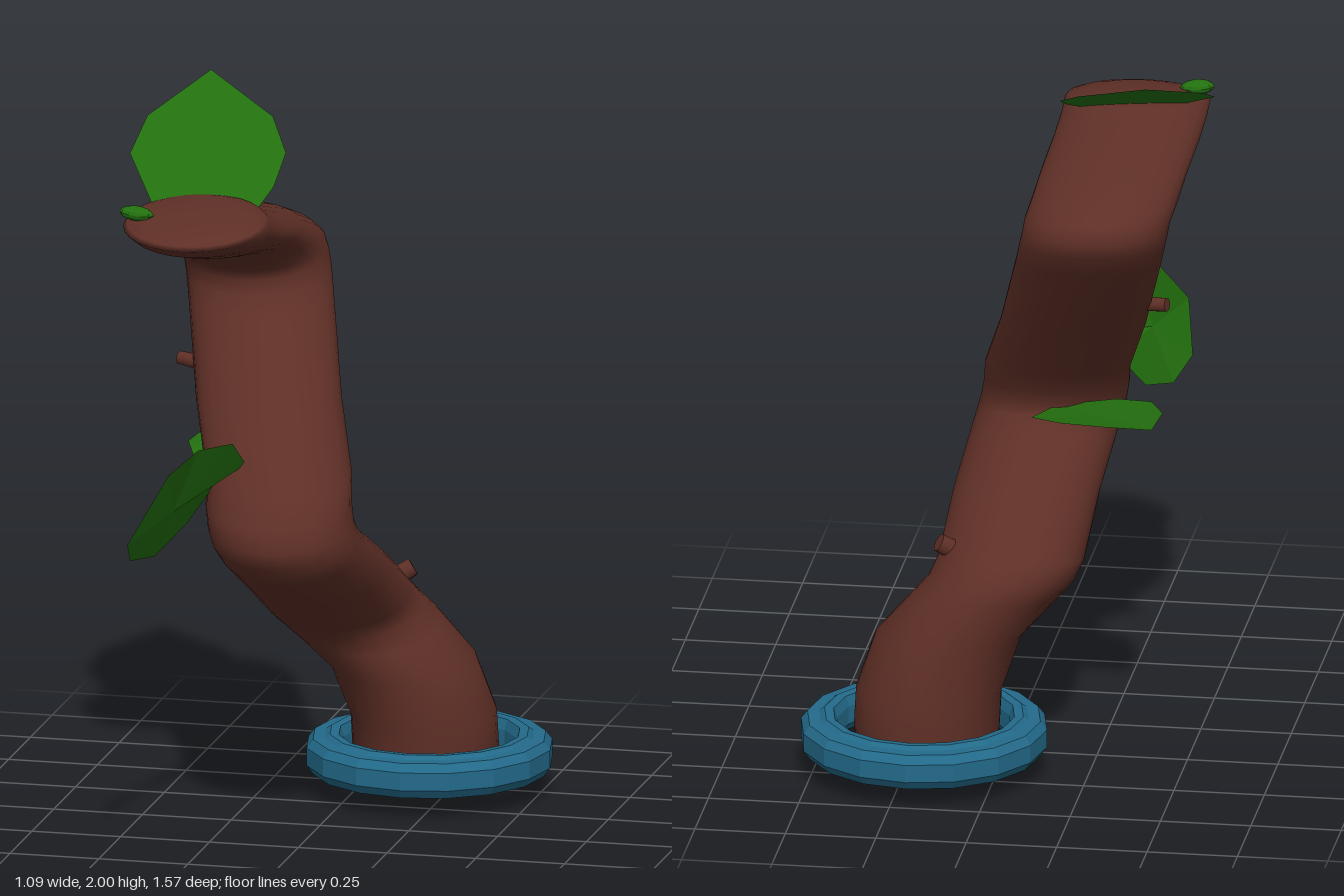
import * as THREE from 'three';

const mat = (name, color, side = THREE.FrontSide, flatShading = false) => {
  const m = new THREE.MeshStandardMaterial({ color, side, flatShading });
  m.name = name;
  return m;
};

// Trunk stations: centre x, front edge (z, y), back edge (z, y)
const STATIONS = [
  [0.195, -0.21, 0.13, -0.63, 0.13],
  [0.19, -0.21, 0.22, -0.62, 0.25],
  [0.14, -0.18, 0.36, -0.59, 0.41],
  [0.05, -0.165, 0.44, -0.565, 0.53],
  [0, -0.14, 0.49, -0.545, 0.585],
  [-0.02, -0.08, 0.53, -0.5, 0.635],
  [-0.03, 0.13, 0.65, -0.28, 0.755],
  [-0.05, 0.29, 0.75, -0.08, 0.86],
  [-0.06, 0.345, 0.8, -0.035, 0.9],
  [-0.07, 0.36, 0.85, -0.03, 0.93],
  [-0.08, 0.345, 0.91, -0.05, 0.975],
  [-0.09, 0.29, 0.985, -0.09, 1.035],
  [-0.155, 0.14, 1.165, -0.23, 1.215],
  [-0.225, -0.06, 1.41, -0.42, 1.455],
  [-0.24, -0.09, 1.46, -0.465, 1.52],
  [-0.25, -0.1, 1.5, -0.48, 1.565],
  [-0.255, -0.08, 1.53, -0.46, 1.605],
  [-0.265, -0.02, 1.565, -0.41, 1.635],
  [-0.275, 0.1, 1.615, -0.28, 1.68],
  [-0.285, 0.25, 1.645, -0.12, 1.725],
  [-0.29, 0.36, 1.675, -0.01, 1.758],
  [-0.29, 0.435, 1.71, 0.04, 1.768],
];

function trunkGeometry() {
  const SEG = 28, RX = 0.2;
  const rings = STATIONS.map(([cx, zf, yf, zb, yb]) => ({
    c: [cx, (yf + yb) / 2, (zf + zb) / 2], rx: RX, hy: (yf - yb) / 2, hz: (zf - zb) / 2,
  }));
  // Domed end: the ring shrinks while it lifts
  const dome = (r, lift) => [1, 2, 3, 4, 5].map((i) => {
    const a = (i / 5) * Math.PI / 2, k = i === 5 ? 0 : Math.cos(a);
    return { c: [r.c[0], r.c[1] + lift * Math.sin(a), r.c[2]], rx: r.rx * k, hy: r.hy * k, hz: r.hz * k };
  });
  const all = [...dome(rings[0], -0.13).reverse(), ...rings, ...dome(rings[rings.length - 1], 0.035)];
  const pos = [], idx = [];
  all.forEach((r, i) => {
    for (let j = 0; j < SEG; j++) {
      const t = (j / SEG) * Math.PI * 2, s = Math.sin(t);
      pos.push(r.c[0] + r.rx * Math.cos(t), r.c[1] + r.hy * s, r.c[2] + r.hz * s);
      if (i === all.length - 1) continue;
      const a = i * SEG + j, b = i * SEG + (j + 1) % SEG;
      idx.push(a, a + SEG, b, b, a + SEG, b + SEG);
    }
  });
  const g = new THREE.BufferGeometry();
  g.setAttribute('position', new THREE.Float32BufferAttribute(pos, 3));
  g.setIndex(idx);
  g.computeVertexNormals();
  return g;
}

// Folded leaf: two fans of faces meeting along the rib from base to tip
function leafGeometry(base, tip, leftEdge, rightEdge) {
  const pos = [];
  const mid = base.map((v, i) => (v + tip[i]) / 2);
  const fan = (edge, flip) => {
    const line = [base, ...edge, tip];
    for (let i = 0; i < line.length - 1; i++) {
      const [p, q] = flip ? [line[i + 1], line[i]] : [line[i], line[i + 1]];
      pos.push(...mid, ...p, ...q);
    }
  };
  fan(leftEdge, false);
  fan(rightEdge, true);
  const g = new THREE.BufferGeometry();
  g.setAttribute('position', new THREE.Float32BufferAttribute(pos, 3));
  g.computeVertexNormals();
  return g;
}

export function createModel() {
  const bark = mat('bark brown', 0x5e2f26);
  const leafGreen = mat('leaf green', 0x23700f, THREE.DoubleSide, true);
  const ringBlue = mat('ring blue', 0x236a8a, THREE.FrontSide, true);

  const model = new THREE.Group();
  model.name = 'twistedBranch';
  const add = (name, geometry, material) => {
    const m = new THREE.Mesh(geometry, material);
    m.name = name;
    model.add(m);
    return m;
  };

  add('trunk', trunkGeometry(), bark);

  // Ring around the foot
  const profile = [
    [0.24, 0.09], [0.26, 0.065], [0.29, 0.058], [0.322, 0.06], [0.34, 0.085], [0.34, 0.135],
    [0.322, 0.158], [0.29, 0.16], [0.275, 0.17], [0.25, 0.168], [0.24, 0.14], [0.24, 0.09],
  ].map(([r, y]) => new THREE.Vector2(r, y));
  add('footRing', new THREE.LatheGeometry(profile, 16), ringBlue).position.set(0.2, 0, -0.44);

  // Top leaf lies on a tilted plane
  const onPlane = ([x, z]) => [x, 1.818 - 0.43 * z - 0.1 * (x + 0.35), z];
  add('topLeaf', leafGeometry(
    onPlane([-0.29, 0.2]), onPlane([-0.41, -0.42]),
    [[-0.44, 0.14], [-0.545, -0.04], [-0.535, -0.2]].map(onPlane),
    [[-0.15, 0.09], [-0.13, 0], [-0.13, -0.14], [-0.2, -0.275]].map(onPlane),
  ), leafGreen);

  // Front leaf stands on edge
  add('frontLeaf', leafGeometry(
    [-0.24, 1.01, 0.18], [-0.35, 0.965, 0.785],
    [[-0.16, 1.06, 0.2], [-0.165, 1.15, 0.33], [-0.22, 1.17, 0.5], [-0.27, 1.13, 0.64]],
    [[-0.31, 0.9, 0.25], [-0.36, 0.845, 0.43], [-0.39, 0.87, 0.59]],
  ), leafGreen);

  // Back leaf with raised sides
  add('backLeaf', leafGeometry(
    [-0.1, 0.915, 0.02], [-0.42, 1, -0.38],
    [[-0.27, 0.955, -0.02], [-0.38, 0.985, -0.11], [-0.43, 1, -0.24]],
    [[-0.06, 0.95, -0.19], [-0.16, 0.985, -0.32], [-0.29, 0.998, -0.37]],
  ), leafGreen);

  // Bud at the upper end
  const bud = add('bud', new THREE.SphereGeometry(1, 10, 8), leafGreen);
  bud.scale.set(0.048, 0.02, 0.03);
  bud.position.set(-0.45, 1.768, 0.27);
  bud.rotation.z = -0.1;

  // Twig stubs
  const up = new THREE.Vector3(0, 1, 0);
  [
    { name: 'upperStub', p: [-0.385, 1.265, -0.1], d: [-1, 0.1, -0.3], r: 0.022 },
    { name: 'lowerStub', p: [0.135, 0.625, -0.375], d: [0.8, 0.5, -0.3], r: 0.03 },
  ].forEach(({ name, p, d, r }) => {
    const stub = add(name, new THREE.CylinderGeometry(r * 0.85, r, 0.08, 10), bark);
    stub.position.set(...p);
    stub.quaternion.setFromUnitVectors(up, new THREE.Vector3(...d).normalize());
  });

  return model;
}
